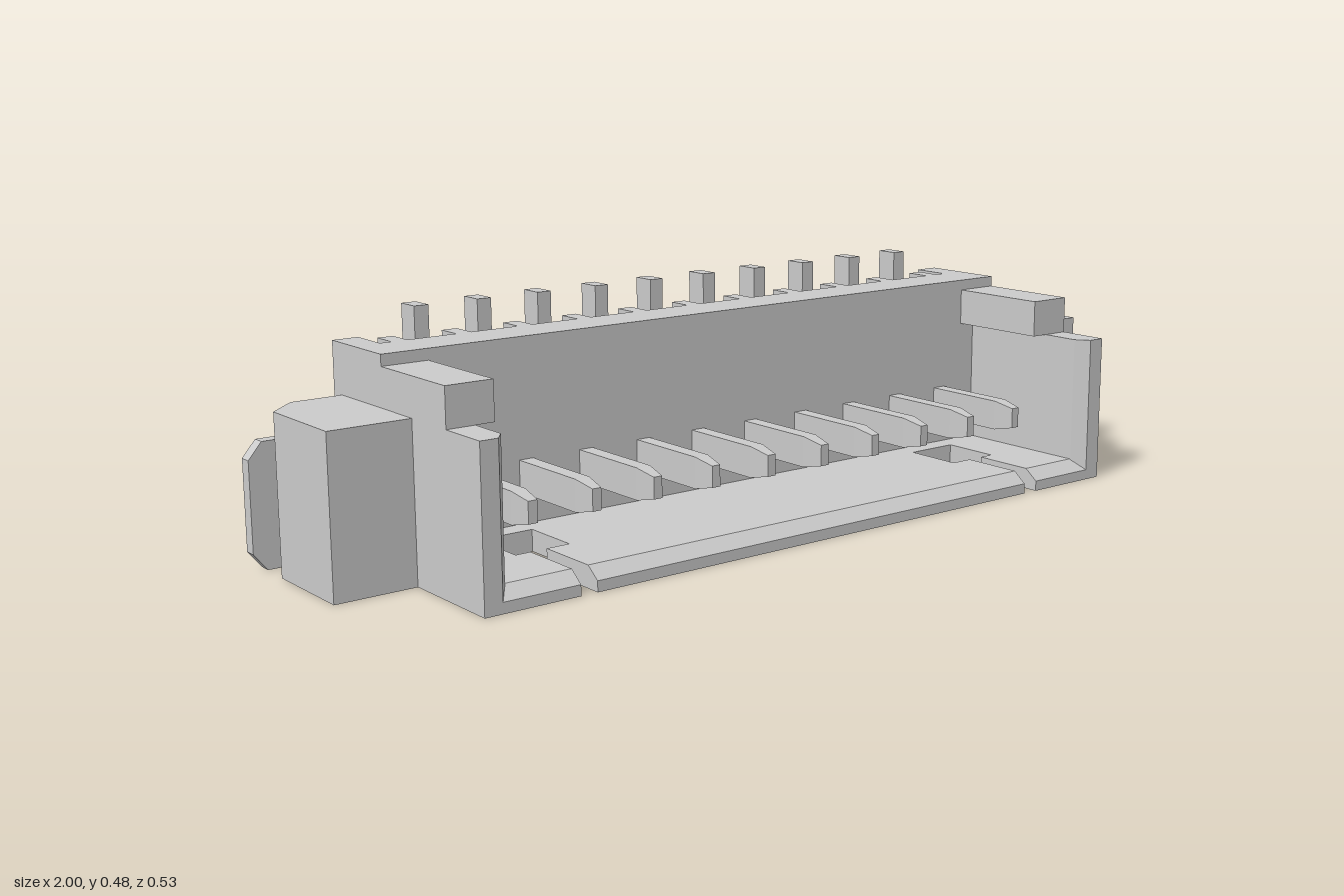
import * as THREE from 'three';

const grey = new THREE.MeshStandardMaterial({ color: 0xcccccc, flatShading: true });
const PITCH = 0.1417;
const PINS = 10;

const makeShape = (pts) => new THREE.Shape(pts.map(([a, b]) => new THREE.Vector2(a, b)));

// Plan outline of [x, z] points raised from y0 to y1
function planPrism(pts, y0, y1) {
  const g = new THREE.ExtrudeGeometry(makeShape(pts.map(([x, z]) => [x, -z])),
    { depth: y1 - y0, bevelEnabled: false });
  return g.rotateX(-Math.PI / 2).translate(0, y0, 0);
}

// Side profile of [z, y] points stretched from x0 to x1
function sidePrism(pts, x0, x1) {
  const g = new THREE.ExtrudeGeometry(makeShape(pts.map(([z, y]) => [-z, y])),
    { depth: x1 - x0, bevelEnabled: false });
  return g.rotateY(Math.PI / 2).translate(x0, 0, 0);
}

function box(x0, x1, y0, y1, z0, z1) {
  return new THREE.BoxGeometry(x1 - x0, y1 - y0, z1 - z0)
    .translate((x0 + x1) / 2, (y0 + y1) / 2, (z0 + z1) / 2);
}

export function createModel() {
  const model = new THREE.Group();
  model.name = 'pinHeader';
  const add = (name, geometry, parent = model) => {
    const mesh = new THREE.Mesh(geometry, grey);
    mesh.name = name;
    parent.add(mesh);
    return mesh;
  };
  const mirrored = (half) => [...half, ...half.map(([x, z]) => [-x, z]).reverse()];

  // Back wall with ribs between the pins and deeper end posts
  const wall = [[-0.805, -0.075], [-0.805, -0.267], [-0.75, -0.267], [-0.75, -0.18]];
  for (let i = 0; i <= PINS; i++) {
    const x = (i - PINS / 2) * PITCH;
    wall.push([x - 0.017, -0.18], [x - 0.017, -0.235], [x + 0.017, -0.235], [x + 0.017, -0.18]);
  }
  wall.push([0.75, -0.18], [0.75, -0.267], [0.805, -0.267], [0.805, -0.075]);
  add('backWall', planPrism(wall, 0, 0.42));

  // Floor with a T-shaped slot near each end
  const floor = mirrored([
    [0.755, -0.08], [0.755, 0.238], [0.602, 0.238], [0.602, 0.1], [0.635, 0.1],
    [0.635, -0.03], [0.515, -0.03], [0.515, 0.1], [0.566, 0.1], [0.566, 0.238],
  ]);
  add('floor', planPrism(floor, 0, 0.045));

  // Bevelled front lip, split by the slots
  const lip = [[0.238, 0], [0.268, 0], [0.268, 0.022], [0.238, 0.045]];
  for (const [x0, x1] of [[-0.77, -0.602], [-0.566, 0.566], [0.602, 0.77]]) {
    add('floorLip', sidePrism(lip, x0, x1));
  }

  // Ends: side wall, top hook, solid wing and bent metal tab
  for (const s of [1, -1]) {
    const end = new THREE.Group();
    end.name = s > 0 ? 'leftEnd' : 'rightEnd';
    model.add(end);
    const plan = (pts) => pts.map(([x, z]) => [s * x, z]);
    const sideBox = (x0, x1, ...rest) =>
      box(Math.min(s * x0, s * x1), Math.max(s * x0, s * x1), ...rest);

    add('sideWall', planPrism(plan([
      [0.745, -0.076], [0.745, 0.24], [0.767, 0.268], [0.805, 0.268], [0.805, -0.076],
    ]), 0, 0.318), end);
    add('topHook', sideBox(0.705, 0.805, 0.318, 0.397, -0.076, 0.155), end);
    add('wing', planPrism(plan([
      [0.804, 0.034], [0.975, 0.034], [0.975, -0.175], [0.912, -0.235], [0.804, -0.235],
    ]), 0, 0.318), end);

    const tab = [[0.845, 0], [0.972, 0], [1, 0.035], [1, 0.217], [0.972, 0.25], [0.845, 0.25]];
    const plate = new THREE.ExtrudeGeometry(makeShape(tab.map(([x, y]) => [s * x, y])),
      { depth: 0.027, bevelEnabled: false });
    add('solderTab', plate.translate(0, 0, -0.267), end);
    add('tabBend', planPrism(plan([
      [0.845, -0.267], [0.828, -0.262], [0.815, -0.251], [0.808, -0.232], [0.834, -0.232], [0.845, -0.24],
    ]), 0, 0.25), end);
  }

  // Pins: tapered contact in the cavity, riser behind the wall, stepped-back tail
  const tail = [
    [-0.18, 0.11], [-0.18, 0.31], [-0.217, 0.355], [-0.217, 0.477],
    [-0.267, 0.477], [-0.267, 0.343], [-0.228, 0.3], [-0.228, 0.11],
  ];
  for (let i = 0; i < PINS; i++) {
    const pin = new THREE.Group();
    pin.name = 'pin' + (i + 1);
    pin.position.x = (i - (PINS - 1) / 2) * PITCH;
    model.add(pin);
    add('contact', box(-0.016, 0.016, 0.11, 0.175, -0.2, 0.12), pin);
    const tip = box(-0.016, 0.016, -0.0325, 0.0325, 0, 0.048);
    const p = tip.attributes.position;
    for (let v = 0; v < p.count; v++) {
      if (p.getZ(v) > 0.02) p.setXY(v, p.getX(v) * 0.62, p.getY(v) * 0.68);
    }
    tip.computeVertexNormals();
    add('contactTip', tip.translate(0, 0.1425, 0.12), pin);
    add('tail', sidePrism(tail, -0.016, 0.016), pin);
  }
  return model;
}
